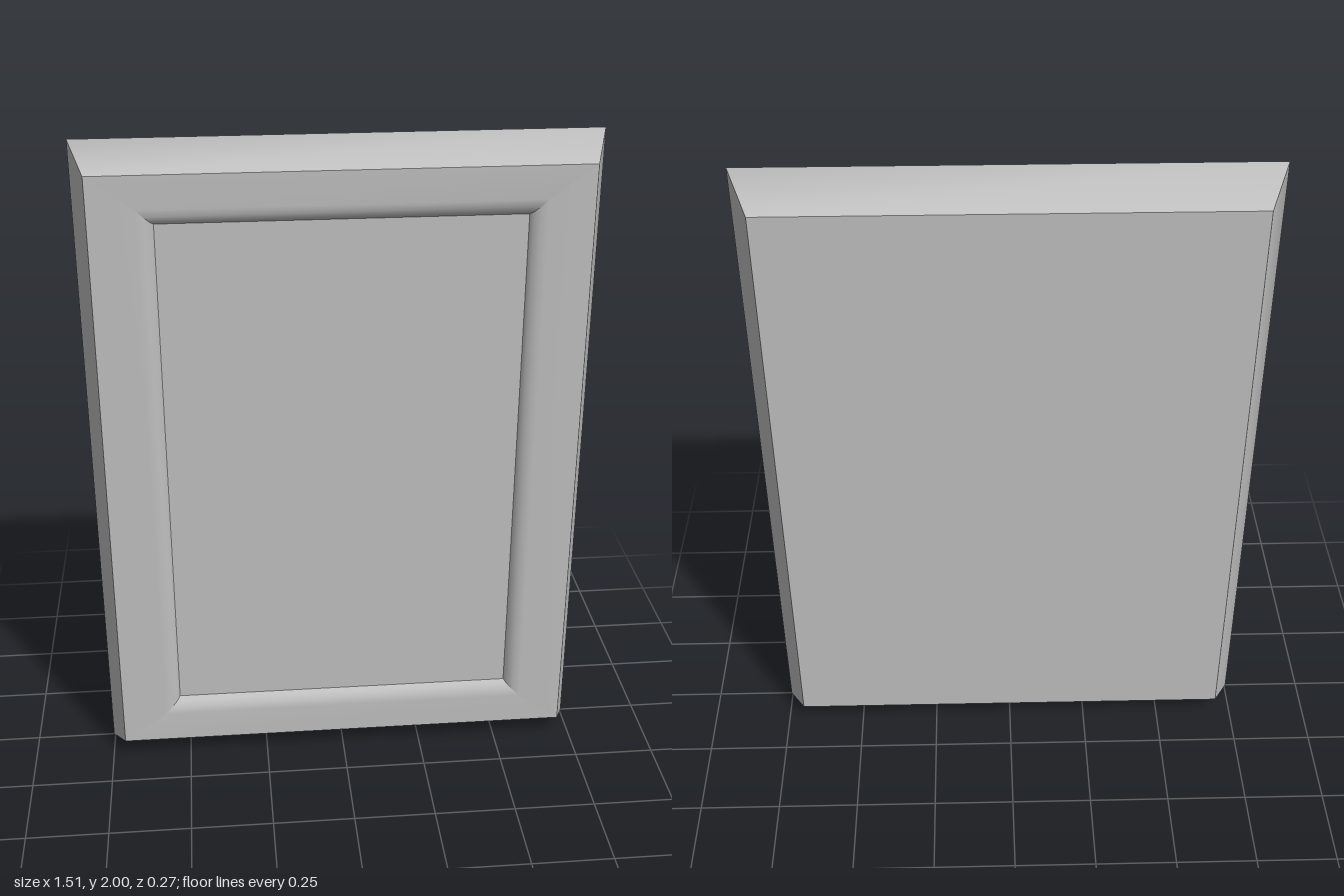
import * as THREE from 'three';

// Each ring is a rectangle: [half width, half height, z]
const BACK = [0.695, 0.925, -0.138];
const RIDGE = [0.755, 1, 0];
const FRONT = [0.708, 0.932, 0.136];
const LIP = [[0.575, 0.835, 0.136], [0.553, 0.813, 0.132], [0.535, 0.795, 0.122]];
const PANEL = [0.526, 0.786, 0.108];
const CORNERS = [[-1, -1], [1, -1], [1, 1], [-1, 1]];

// One side of the frame, swept through the rings, smooth within itself
function sideStrip(rings, side) {
  const positions = [], index = [];
  for (const [w, h, z] of rings) {
    for (const k of [side, (side + 1) % 4]) {
      positions.push(CORNERS[k][0] * w, CORNERS[k][1] * h, z);
    }
  }
  for (let r = 0; r < rings.length - 1; r++) {
    const a = r * 2;
    index.push(a, a + 1, a + 3, a, a + 3, a + 2);
  }
  const geometry = new THREE.BufferGeometry();
  geometry.setAttribute('position', new THREE.Float32BufferAttribute(positions, 3));
  geometry.setIndex(index);
  geometry.computeVertexNormals();
  return geometry;
}

export function createModel() {
  const model = new THREE.Group();
  model.name = 'framedPanel';
  const grey = new THREE.MeshStandardMaterial({ color: 0xc0c0c0 });
  grey.name = 'grey';

  const add = (name, geometry) => {
    const mesh = new THREE.Mesh(geometry, grey);
    mesh.name = name;
    mesh.position.y = 1;
    model.add(mesh);
    return mesh;
  };

  // Ridged outer edges and front mouldings with mitred corners
  ['bottom', 'right', 'top', 'left'].forEach((name, i) => {
    // the model's own left is +x
    const label = { right: 'left', left: 'right' }[name] || name;
    add(label + 'Edge', sideStrip([BACK, RIDGE, FRONT], i));
    add(label + 'Moulding', sideStrip([FRONT, ...LIP, PANEL], i));
  });

  // Recessed front panel
  add('frontPanel', new THREE.PlaneGeometry(PANEL[0] * 2, PANEL[1] * 2)).position.z = PANEL[2];

  // Flat back
  const back = add('backPanel', new THREE.PlaneGeometry(BACK[0] * 2, BACK[1] * 2));
  back.position.z = BACK[2];
  back.rotation.y = Math.PI;

  return model;
}
